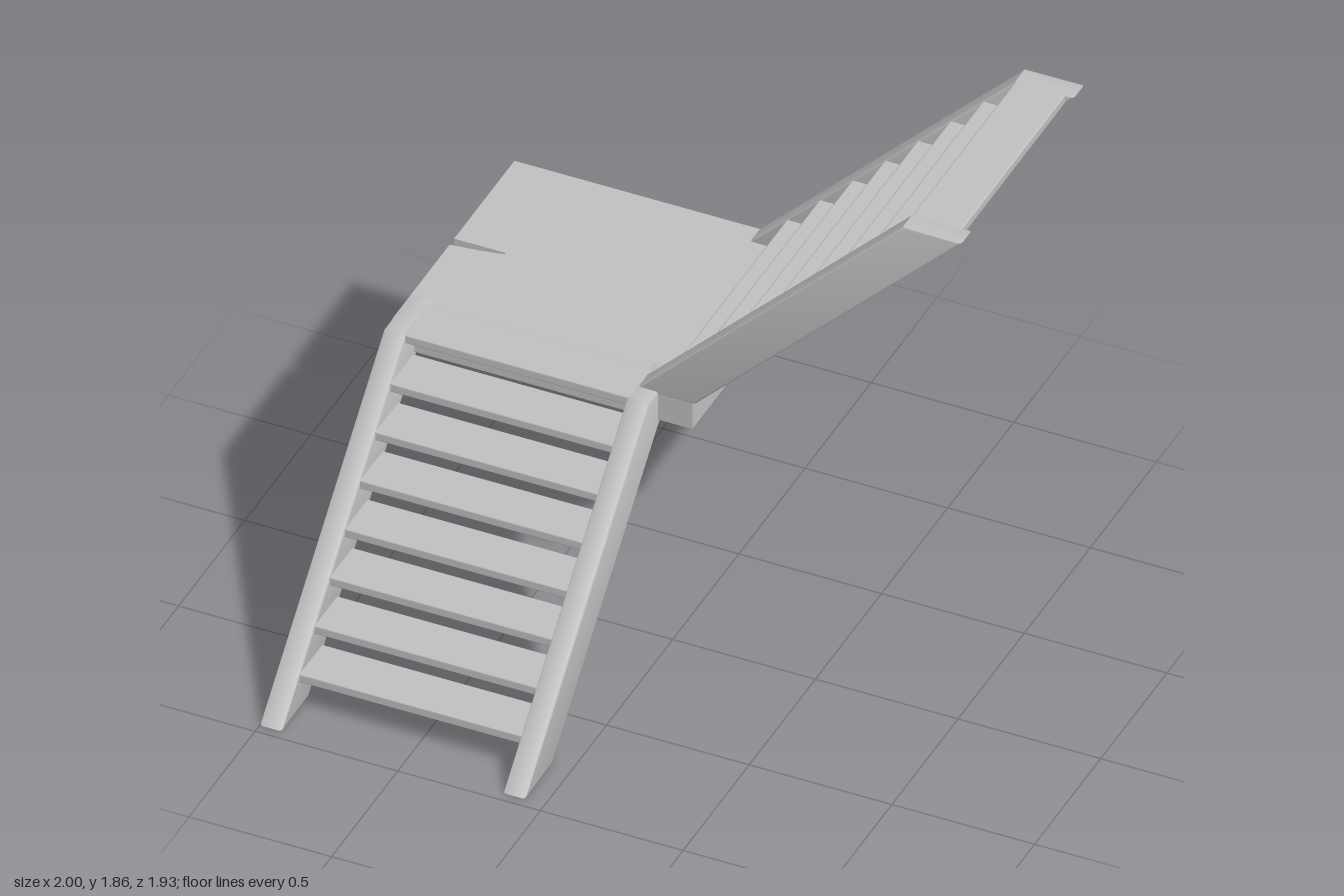
import * as THREE from 'three';
import { RoundedBoxGeometry } from 'three/addons/geometries/RoundedBoxGeometry.js';
import { toCreasedNormals } from 'three/addons/utils/BufferGeometryUtils.js';

const grey = new THREE.MeshStandardMaterial({ color: 0xbfbfbf });
grey.name = 'plainGrey';

const STRINGER = 0.077; // plank thickness
const RUN = 0.207;      // horizontal width of a stringer

function add(parent, name, geometry, x = 0, y = 0, z = 0) {
  const mesh = new THREE.Mesh(geometry, grey);
  mesh.name = name;
  mesh.position.set(x, y, z);
  parent.add(mesh);
  return mesh;
}

// A flight climbing at 45 degrees along +x, between z0 and z1
function makeFlight(name, x0, y0, y1, z0, z1) {
  const flight = new THREE.Group();
  flight.name = name;
  const rise = y1 - y0;

  // sloped side planks with slightly eased edges
  const profile = new THREE.Shape([
    new THREE.Vector2(x0, y0),
    new THREE.Vector2(x0 + RUN, y0),
    new THREE.Vector2(x0 + RUN + rise, y1),
    new THREE.Vector2(x0 + rise, y1),
  ]);
  const b = 0.008;
  const plank = toCreasedNormals(new THREE.ExtrudeGeometry(profile, {
    depth: STRINGER - 2 * b,
    bevelThickness: b, bevelSize: b, bevelOffset: -b, bevelSegments: 2,
  }), 0.6);
  add(flight, 'stringer', plank, 0, 0, z0 + b);
  add(flight, 'stringer', plank, 0, 0, z1 - STRINGER + b);

  // eight open treads, the topmost flush with the stringer tops
  const depth = 0.175, thick = 0.034;
  const width = z1 - z0 - 2 * STRINGER + 0.02;
  const tread = new RoundedBoxGeometry(depth, thick, width, 2, 0.006);
  for (let i = 0; i < 8; i++) {
    const top = y1 - i * 0.1145;
    add(flight, 'tread', tread, x0 + top - y0 + depth / 2, top - thick / 2, (z0 + z1) / 2);
  }
  return flight;
}

function makeLanding() {
  const landing = new THREE.Group();
  landing.name = 'landing';
  const x0 = -1, x1 = 0.05, z0 = -0.96, z1 = -0.04;
  const bottom = 0.825, top = 0.934, board = 0.03;

  // floor board with a narrow split in its outer edge (shape y is -z)
  const outline = new THREE.Shape([
    [x0, -z1], [x1, -z1], [x1, -z0], [x0, -z0],
    [x0, 0.505], [-0.82, 0.505], [-0.82, 0.497], [-0.9, 0.482], [x0, 0.47],
  ].map(([x, y]) => new THREE.Vector2(x, y)));
  const floor = new THREE.ExtrudeGeometry(outline, { depth: board, bevelEnabled: false });
  floor.rotateX(-Math.PI / 2);
  add(landing, 'floorBoard', floor, 0, top - board, 0);

  // frame of joists beneath the board
  const h = top - board - bottom, y = bottom + h / 2, t = STRINGER;
  const long = new THREE.BoxGeometry(x1 - x0, h, t);
  const short = new THREE.BoxGeometry(t, h, z1 - z0 - 2 * t);
  for (const z of [z0 + t / 2, z1 - t / 2]) add(landing, 'longJoist', long, (x0 + x1) / 2, y, z);
  for (const x of [x0 + t / 2, x1 - t / 2]) add(landing, 'shortJoist', short, x, y, (z0 + z1) / 2);
  return landing;
}

export function createModel() {
  const model = new THREE.Group();
  model.name = 'quarterTurnStaircase';

  // lower flight climbs toward the back
  const lower = makeFlight('lowerFlight', -0.965, 0, 0.937, -1, -0.07);
  lower.rotation.y = Math.PI / 2;
  model.add(lower);

  model.add(makeLanding());

  // upper flight climbs toward +x
  model.add(makeFlight('upperFlight', -0.148, 0.926, 1.862, -0.965, -0.037));
  return model;
}
